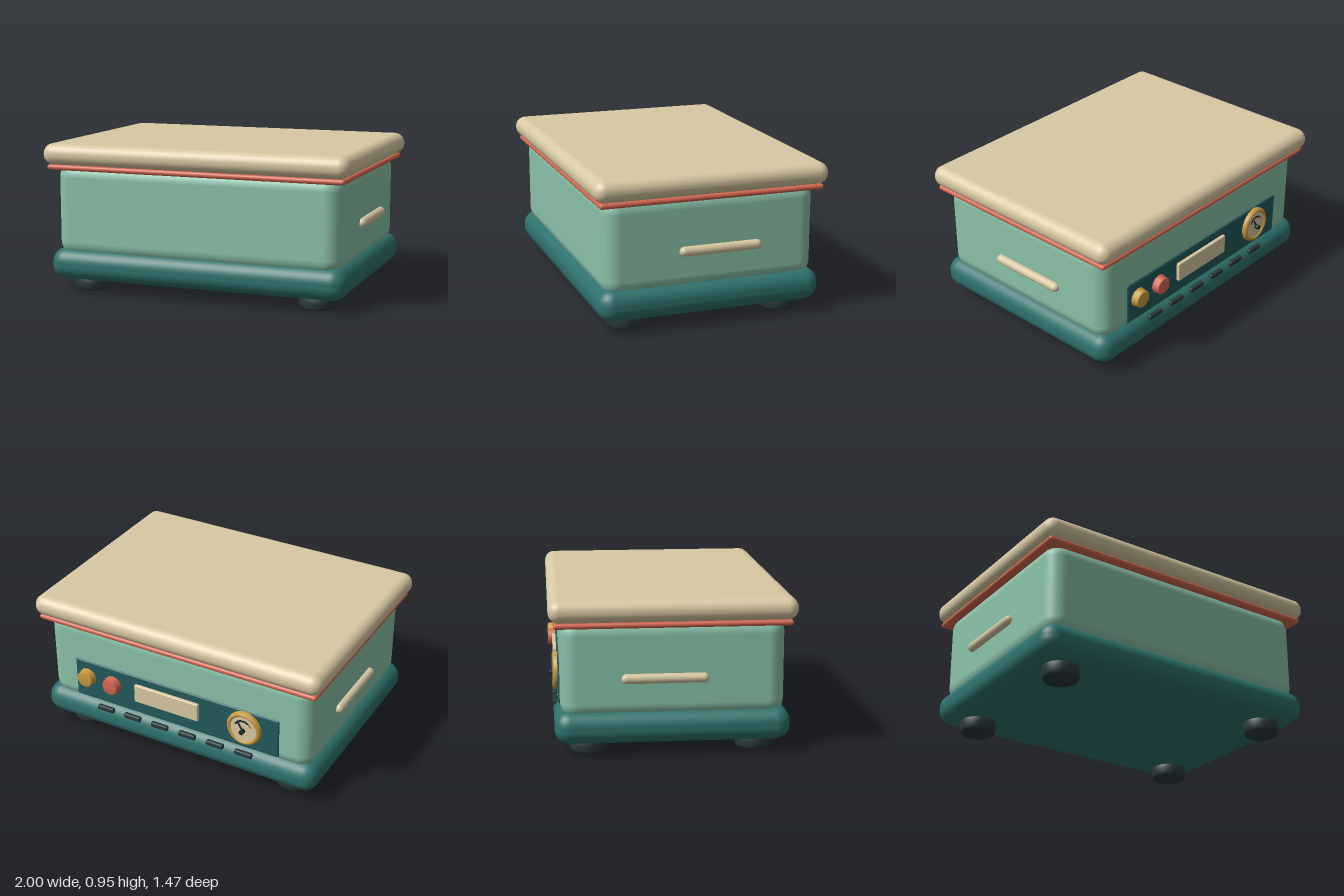
import * as THREE from 'three';
import { RoundedBoxGeometry } from 'three/addons/geometries/RoundedBoxGeometry.js';

const paint = (name, color) => {
  const m = new THREE.MeshStandardMaterial({ color });
  m.name = name;
  return m;
};

export function createModel() {
  const cream = paint('cream', 0xd8c9a3);
  const coral = paint('coral', 0xd2684f);
  const mint = paint('mint', 0x8ac2a9);
  const teal = paint('teal', 0x2e726d);
  const deepTeal = paint('deepTeal', 0x21595a);
  const rubber = paint('rubber', 0x2b3a3b);
  const brass = paint('brass', 0xc89a40);
  const ink = paint('ink', 0x1f2a2c);

  const model = new THREE.Group();
  model.name = 'cabinet';

  const add = (parent, name, geometry, material, x = 0, y = 0, z = 0) => {
    const mesh = new THREE.Mesh(geometry, material);
    mesh.name = name;
    mesh.position.set(x, y, z);
    parent.add(mesh);
    return mesh;
  };
  // Rounded slab between two heights
  const slab = (name, w, d, y0, y1, r, material) =>
    add(model, name, new RoundedBoxGeometry(w, y1 - y0, d, 5, r), material, 0, (y0 + y1) / 2, 0);

  // Stacked casing
  slab('base', 1.95, 1.41, 0.075, 0.275, 0.09, teal);
  slab('body', 1.87, 1.34, 0.22, 0.83, 0.1, mint);
  slab('gasket', 1.945, 1.41, 0.783, 0.817, 0.0165, coral);
  slab('lid', 2, 1.47, 0.815, 0.95, 0.065, cream);

  // Four bulging feet
  const footProfile = [[0, 0], [0.105, 0], [0.111, 0.015], [0.116, 0.045], [0.113, 0.075], [0.1, 0.1], [0, 0.1]]
    .map(([r, y]) => new THREE.Vector2(r, y));
  const footGeometry = new THREE.LatheGeometry(footProfile, 28);
  for (const x of [-0.76, 0.76])
    for (const z of [-0.505, 0.505]) add(model, 'foot', footGeometry, rubber, x, 0, z);

  // Side grips
  const gripGeometry = new THREE.CapsuleGeometry(0.03, 0.46, 6, 16).rotateX(Math.PI / 2);
  for (const side of [-1, 1]) add(model, 'sideGrip', gripGeometry, cream, side * 0.942, 0.476, -0.05);

  // Control panel on the back, built facing +z and then turned round
  const controls = new THREE.Group();
  controls.name = 'controls';
  controls.rotation.y = Math.PI;
  model.add(controls);
  add(controls, 'panel', new RoundedBoxGeometry(1.46, 0.27, 0.03, 2, 0.012), deepTeal, 0, 0.413, 0.664);
  add(controls, 'display', new RoundedBoxGeometry(0.46, 0.125, 0.03, 2, 0.008), cream, -0.05, 0.432, 0.685);

  // Knobs with a small bevel
  const knobProfile = [[0.062, 0], [0.062, 0.01], [0.056, 0.012], [0.056, 0.044], [0.048, 0.052], [0, 0.052]]
    .map(([r, y]) => new THREE.Vector2(r, y));
  const knobGeometry = new THREE.LatheGeometry(knobProfile, 12).rotateX(Math.PI / 2);
  add(controls, 'brassKnob', knobGeometry, brass, -0.64, 0.433, 0.675);
  add(controls, 'coralKnob', knobGeometry, coral, -0.45, 0.433, 0.675);

  // Round gauge
  const gauge = new THREE.Group();
  gauge.name = 'gauge';
  gauge.position.set(0.5, 0.428, 0.675);
  controls.add(gauge);
  const bezelProfile = [[0.116, 0], [0.116, 0.02], [0.106, 0.032], [0.094, 0.034], [0.086, 0.022]]
    .map(([r, y]) => new THREE.Vector2(r, y));
  add(gauge, 'bezel', new THREE.LatheGeometry(bezelProfile, 36).rotateX(Math.PI / 2), brass);
  add(gauge, 'dial', new THREE.CircleGeometry(0.09, 36), cream, 0, 0, 0.025);
  const arc = (from, to) => new THREE.RingGeometry(0.052, 0.066, 20, 1, from, to - from);
  add(gauge, 'scaleArc', arc(0.95, 2.7), ink, 0, 0, 0.028);
  add(gauge, 'warningArc', arc(0.4, 0.95), coral, 0, 0, 0.028);
  const needle = add(gauge, 'needle', new THREE.BoxGeometry(0.01, 0.065, 0.006).translate(0, 0.03, 0), ink, 0, -0.01, 0.034);
  needle.rotation.z = 0.5;
  add(gauge, 'hub', new THREE.CylinderGeometry(0.015, 0.015, 0.03, 16).rotateX(Math.PI / 2), ink, 0, -0.01, 0.04);

  // Row of vents along the base
  const ventGeometry = new RoundedBoxGeometry(0.12, 0.034, 0.03, 2, 0.008);
  for (let i = 0; i < 6; i++) add(controls, 'vent', ventGeometry, rubber, -0.5 + i * 0.2, 0.24, 0.695);

  return model;
}
